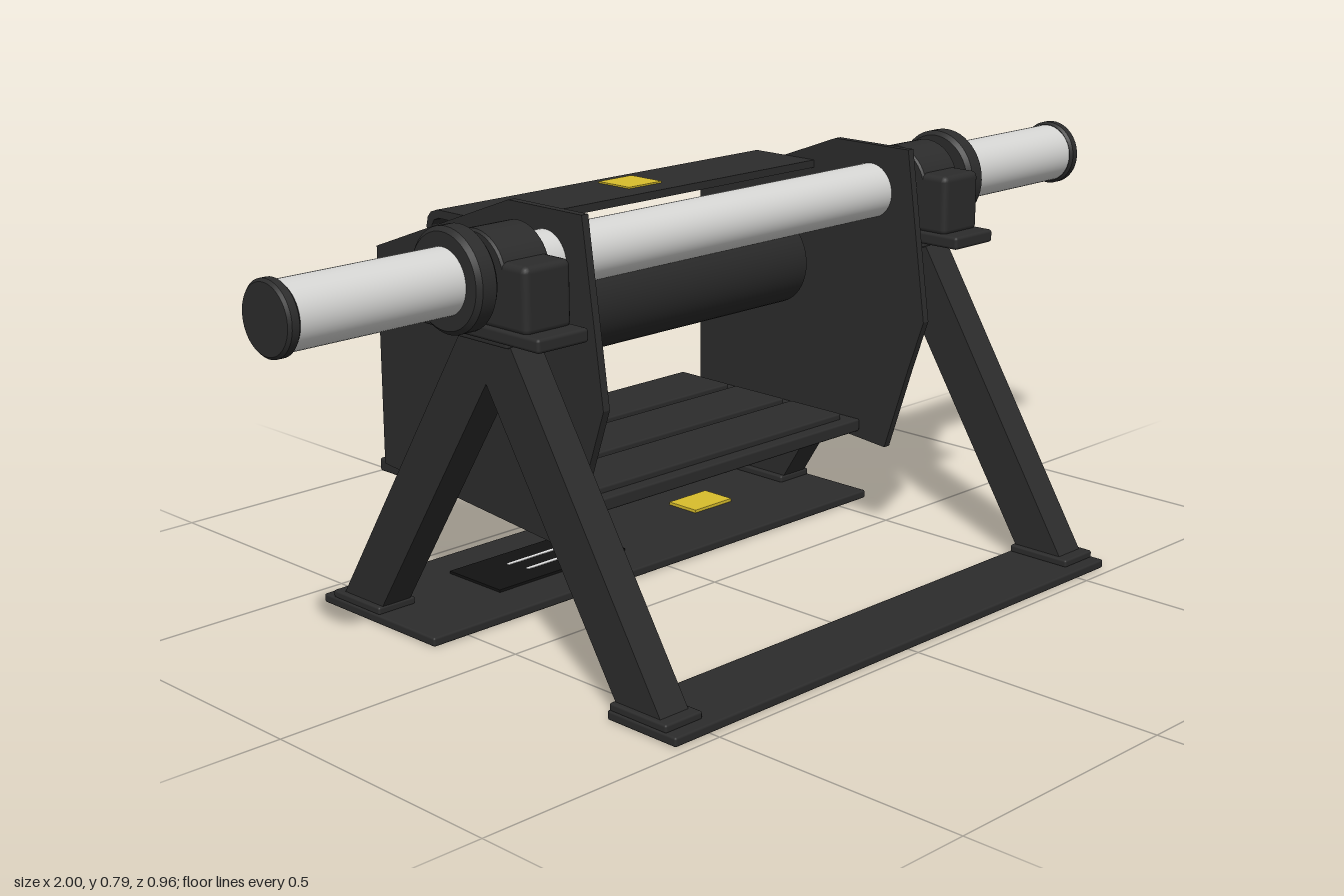
import * as THREE from 'three';
import { RoundedBoxGeometry } from 'three/addons/geometries/RoundedBoxGeometry.js';

const mat = (name, color) => Object.assign(new THREE.MeshStandardMaterial({ color }), { name });

export function createModel() {
  const frame = mat('frame charcoal', 0x2c2c2c);
  const steel = mat('brushed steel', 0xd6d6d4);
  const rubber = mat('roller rubber', 0x292929);
  const black = mat('label black', 0x121212);
  const yellow = mat('warning yellow', 0xd8bd2c);
  const white = mat('label white', 0xe4e4e4);
  const group = new THREE.Group();
  const axleY = 0.7, axleZ = 0.018;

  const add = (name, geometry, material, x = 0, y = 0, z = 0) => {
    const mesh = new THREE.Mesh(geometry, material);
    mesh.name = name;
    mesh.position.set(x, y, z);
    group.add(mesh);
    return mesh;
  };
  // Box given by its limits on each axis, with slightly softened edges
  const box = (name, material, [x0, x1], [y0, y1], [z0, z1], r = 0.004) => {
    const size = [x1 - x0, y1 - y0, z1 - z0];
    const g = r ? new RoundedBoxGeometry(...size, 2, r) : new THREE.BoxGeometry(...size);
    return add(name, g, material, (x0 + x1) / 2, (y0 + y1) / 2, (z0 + z1) / 2);
  };
  // Bevelled cylinder lying along x
  const rod = (name, material, r, x0, x1, y, z, bevel = 0.004) => {
    const h = (x1 - x0) / 2, b = bevel;
    const pts = [[0, -h], [r - b, -h], [r - b, -h], [r, -h + b], [r, -h + b],
      [r, h - b], [r, h - b], [r - b, h], [r - b, h], [0, h]];
    const g = new THREE.LatheGeometry(pts.map(p => new THREE.Vector2(...p)), 48);
    g.rotateZ(-Math.PI / 2);
    return add(name, g, material, (x0 + x1) / 2, y, z);
  };
  // Side outline of [z, y] points, extruded along x about its centre
  const profile = (name, material, points, width, x = 0) => {
    const shape = new THREE.Shape(points.map(([z, y]) => new THREE.Vector2(-z, y)));
    const g = new THREE.ExtrudeGeometry(shape, { depth: width, bevelEnabled: false });
    g.translate(0, 0, -width / 2).rotateY(Math.PI / 2);
    return add(name, g, material, x);
  };

  // Ground plates
  box('frontGroundPlate', frame, [-0.58, 0.58], [0, 0.017], [0.32, 0.48]);
  box('rearGroundPlate', frame, [-0.58, 0.58], [0, 0.017], [-0.445, -0.125]);
  box('infoLabel', black, [-0.35, -0.03], [0.017, 0.022], [-0.36, -0.215], 0);
  box('infoLabelLine', white, [-0.24, -0.12], [0.022, 0.023], [-0.268, -0.26], 0);
  box('infoLabelLine', white, [-0.25, -0.11], [0.022, 0.023], [-0.312, -0.304], 0);
  box('plateWarningLabel', yellow, [0.225, 0.33], [0.017, 0.023], [-0.35, -0.275], 0);

  // Main shaft
  rod('mainShaft', steel, 0.053, -0.5, 0.5, axleY, axleZ);

  for (const s of [-1, 1]) {
    const span = (a, b) => (s > 0 ? [a, b] : [-b, -a]);

    // A-frame leg pair with foot pads
    profile('legPair', frame, [[0.435, 0.025], [0.083, 0.587], [-0.045, 0.587],
      [-0.4, 0.025], [-0.29, 0.025], [0.02, 0.51], [0.33, 0.025]], 0.064, s * 0.535);
    box('frontFoot', frame, span(0.493, 0.577), [0.015, 0.03], [0.322, 0.455]);
    box('rearFoot', frame, span(0.493, 0.577), [0.015, 0.03], [-0.42, -0.285]);

    // Pillow block bearing
    box('legCap', frame, span(0.495, 0.575), [0.583, 0.598], [-0.048, 0.085]);
    box('bearingBase', frame, span(0.478, 0.59), [0.595, 0.62], [-0.145, 0.18], 0.006);
    box('bearingBlock', frame, span(0.483, 0.585), [0.615, 0.732], [-0.108, 0.146], 0.012);
    rod('bearingHousing', frame, 0.078, ...span(0.483, 0.585), axleY, axleZ);

    // Protruding shaft end, collar and cap
    rod('shaftEnd', steel, 0.058, ...span(0.48, 0.98), axleY, axleZ);
    rod('shaftCollar', frame, 0.091, ...span(0.605, 0.65), axleY, axleZ, 0.008);
    rod('shaftEndCap', frame, 0.064, ...span(0.976, 1), axleY, axleZ, 0.005);

    // Hanging side panel
    profile('sidePanel', frame, [[0.11, 0.79], [-0.075, 0.79], [-0.445, 0.652],
      [-0.445, 0.235], [0.065, 0.19], [0.12, 0.355], [0.157, 0.46]], 0.015, s * 0.42);

    // Roller axle stub
    rod('rollerAxle', steel, 0.05, ...span(0.37, 0.414), 0.54, -0.2);
  }

  // Roller between the panels
  rod('roller', rubber, 0.091, -0.385, 0.385, 0.54, -0.2, 0.014);

  // Hood with a rounded folded rear lip
  profile('hood', frame, [[-0.13, 0.74], [-0.285, 0.74], [-0.303, 0.734], [-0.312, 0.724],
    [-0.316, 0.708], [-0.316, 0.695], [-0.301, 0.695], [-0.301, 0.71], [-0.295, 0.72],
    [-0.282, 0.725], [-0.13, 0.725]], 0.826);
  box('hoodWarningLabel', yellow, [-0.045, 0.04], [0.738, 0.743], [-0.26, -0.178], 0);

  // Bottom tray with raised tread strips
  box('tray', frame, [-0.413, 0.413], [0.21, 0.235], [-0.48, 0]);
  for (const z of [-0.47, -0.315, -0.16]) {
    box('trayStrip', frame, [-0.385, 0.385], [0.232, 0.247], [z, z + 0.135]);
  }

  return group;
}
